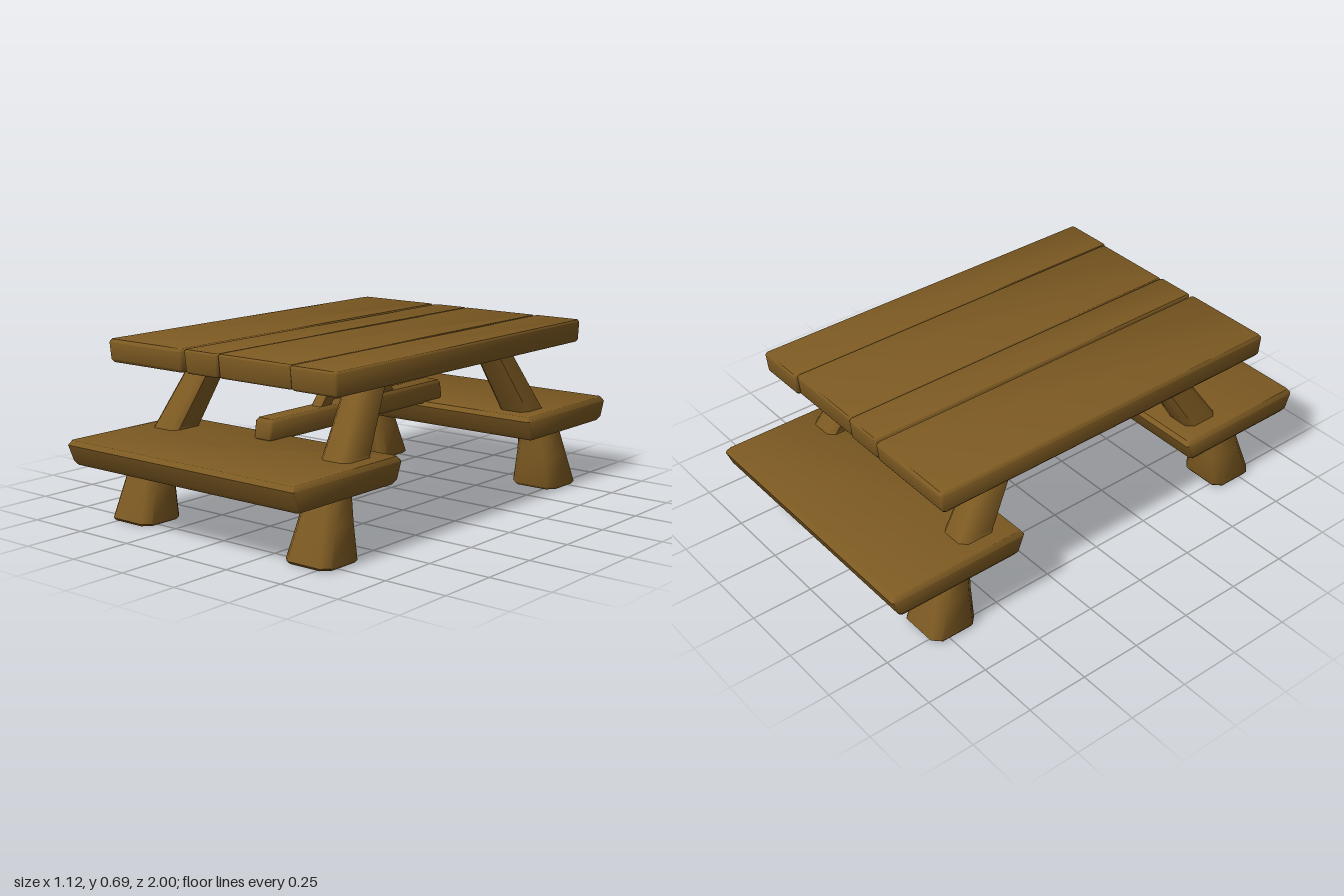
import * as THREE from 'three';
import { toCreasedNormals } from 'three/addons/utils/BufferGeometryUtils.js';

const wood = new THREE.MeshStandardMaterial({ color: 0x7d5a22 });
wood.name = 'brown wood';

// Solid through horizontal sections [y, x0, x1, z0, z1], bottom to top, with cut corners
function loft(name, sections, cut = 0.015) {
  const pos = [], index = [], n = 8;
  for (const [y, x0, x1, z0, z1] of sections) {
    pos.push(x0 + cut, y, z1, x1 - cut, y, z1, x1, y, z1 - cut, x1, y, z0 + cut,
      x1 - cut, y, z0, x0 + cut, y, z0, x0, y, z0 + cut, x0, y, z1 - cut);
  }
  const last = (sections.length - 1) * n;
  for (let s = 0; s < last; s += n) {
    for (let i = 0; i < n; i++) {
      const j = (i + 1) % n;
      index.push(s + i, s + j, s + n + j, s + i, s + n + j, s + n + i);
    }
  }
  for (let i = 1; i < n - 1; i++) {
    index.push(0, i + 1, i, last, last + i, last + i + 1);
  }
  const geometry = new THREE.BufferGeometry();
  geometry.setAttribute('position', new THREE.Float32BufferAttribute(pos, 3));
  geometry.setIndex(index);
  const mesh = new THREE.Mesh(toCreasedNormals(geometry, 0.9), wood);
  mesh.name = name;
  return mesh;
}

// Board with softened upper and lower edges
function board(name, y0, y1, x0, x1, z0, z1, bevel = 0.008, taper = 0) {
  const b = bevel, t = taper;
  return loft(name, [
    [y0, x0 + b, x1 - b, z0 + b + t, z1 - b - t],
    [y0 + b * 1.5, x0, x1, z0 + t, z1 - t],
    [y1 - b * 1.5, x0, x1, z0, z1],
    [y1, x0 + b, x1 - b, z0 + b, z1 - b],
  ], 0.008);
}

// Reverse a z or x range when mirrored
const range = (a, b, side) => (side > 0 ? [a, b] : [-b, -a]);

export function createModel() {
  const table = new THREE.Group();
  table.name = 'picnicTable';

  // Table top: one wide plank, a narrow gap, then three tight planks
  const top = new THREE.Group();
  top.name = 'tableTop';
  const planks = [
    [-0.56, -0.174, 0.78, 0.695], [-0.166, 0.001, 0.775, 0.695],
    [-0.001, 0.351, 0.77, 0.695], [0.349, 0.56, 0.78, 0.694],
  ];
  planks.forEach(([x0, x1, z, y], i) => {
    top.add(board('topPlank' + (i + 1), 0.605, y, x0, x1, -z, z, i === 0 ? 0.008 : 0.005, 0.008));
  });
  table.add(top);

  for (const sz of [1, -1]) {
    const end = sz > 0 ? 'front' : 'back';
    // Bench seat with undercut long edges
    table.add(board(end + 'Bench', 0.243, 0.341, -0.56, 0.56, ...range(0.41, 1, sz), 0.012, 0.025));

    for (const sx of [1, -1]) {
      const side = sx > 0 ? 'Left' : 'Right';
      // Flared foot below the bench
      table.add(loft(end + side + 'Foot', [
        [0, ...range(0.345, 0.54, sx), ...range(0.625, 0.81, sz)],
        [0.01, ...range(0.337, 0.546, sx), ...range(0.618, 0.818, sz)],
        [0.14, ...range(0.355, 0.528, sx), ...range(0.617, 0.775, sz)],
        [0.26, ...range(0.367, 0.512, sx), ...range(0.61, 0.735, sz)],
      ], 0.03));
      // Leaning leg between bench and top
      table.add(loft(end + side + 'Leg', [
        [0.3, ...range(0.36, 0.5, sx), ...range(0.51, 0.67, sz)],
        [0.35, ...range(0.357, 0.488, sx), ...range(0.48, 0.635, sz)],
        [0.62, ...range(0.328, 0.438, sx), ...range(0.315, 0.455, sz)],
      ], 0.025));
    }

    // Diagonal brace along the beam
    table.add(loft(end + 'BeamBrace', [
      [0.4, -0.025, 0.025, ...range(0.175, 0.25, sz)],
      [0.615, -0.025, 0.025, ...range(0.005, 0.07, sz)],
    ], 0.008));
    // Spreading brace across the beam
    table.add(loft((sz > 0 ? 'left' : 'right') + 'SpreadBrace', [
      [0.4, ...range(-0.02, 0.035, sz), -0.03, 0.03],
      [0.615, ...range(0.08, 0.158, sz), -0.025, 0.025],
    ], 0.008));
  }

  // Long beam joining the two benches
  table.add(board('centreBeam', 0.335, 0.42, -0.043, 0.043, -0.53, 0.53, 0.008, -0.01));

  return table;
}
